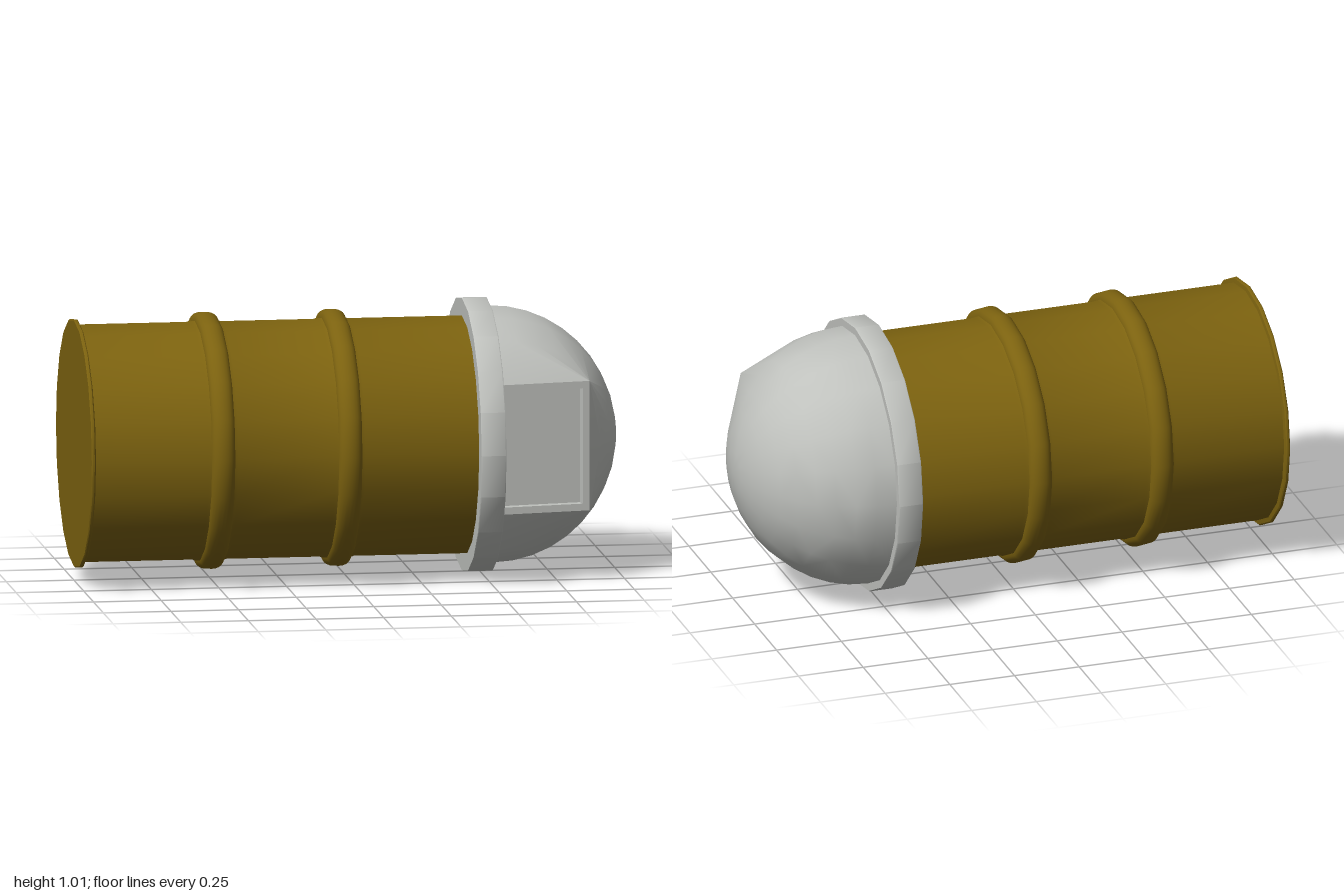
import * as THREE from 'three';
import { toCreasedNormals } from 'three/addons/utils/BufferGeometryUtils.js';
import { ConvexGeometry } from 'three/addons/geometries/ConvexGeometry.js';

const AXIS_Y = 0.507, SIDES = 20;
const RIM_X = 0.527, DOME_R = 0.477;       // dome base and radius
const HATCH_Z = 0.375, SLANT = Math.atan(0.165);
const HATCH_LEN = 0.338, HATCH_H = 0.24;   // hatch length and half height

// Turned part along the x axis from [x, radius] points
function turned(points) {
  const geo = new THREE.LatheGeometry(points.map(([x, r]) => new THREE.Vector2(r, x)), SIDES);
  geo.rotateZ(-Math.PI / 2);
  return toCreasedNormals(geo, 0.6);
}

// Half-round rib profile with small flared feet
function rib(x) {
  const pts = [[x - 0.055, 0.44]];
  for (let i = 0; i <= 10; i++) {
    const a = Math.PI * (1 - i / 10);
    pts.push([x + 0.043 * Math.cos(a), 0.444 + 0.032 * Math.sin(a)]);
  }
  pts.push([x + 0.055, 0.44]);
  return pts;
}

export function createModel() {
  const paint = new THREE.MeshStandardMaterial({ color: 0x7c620f });
  paint.name = 'barrel ochre';
  const grey = new THREE.MeshStandardMaterial({ color: 0xbfc1bd });
  grey.name = 'lid grey';

  const model = new THREE.Group();
  model.name = 'barrelBin';
  const body = new THREE.Group();
  body.position.y = AXIS_Y;
  model.add(body);
  const add = (name, geo, mat, parent = body) => {
    const mesh = new THREE.Mesh(geo, mat);
    mesh.name = name;
    parent.add(mesh);
    return mesh;
  };

  // Barrel with base rim and two ribs
  add('barrel', turned([
    [-1, 0], [-1, 0.456], [-0.996, 0.46], [-0.989, 0.46], [-0.985, 0.456], [-0.982, 0.44],
    ...rib(-0.51), ...rib(-0.04), [0.45, 0.44],
  ]), paint);

  // Lid collar
  add('lidCollar', turned([
    [0.435, 0.43], [0.435, 0.505], [0.438, 0.507], [0.524, 0.507], [RIM_X, 0.505], [RIM_X, 0],
  ]), grey);

  // Slanted hatch frame of reference
  const hatch = new THREE.Group();
  hatch.name = 'hatch';
  hatch.position.set(RIM_X, 0, HATCH_Z);
  hatch.rotation.y = SLANT;
  hatch.updateMatrix();
  body.add(hatch);
  const normal = new THREE.Vector3(Math.sin(SLANT), 0, Math.cos(SLANT));
  const height = (p) => p.clone().sub(hatch.position).dot(normal);

  // Dome: half sphere stretched over the corners of the hatch
  const points = [];
  const rings = 10;
  for (let i = 0; i <= rings; i++) {
    const a = (i / rings) * Math.PI / 2, r = DOME_R * Math.cos(a);
    const x = i === 0 ? RIM_X - 0.004 : RIM_X + (1 - RIM_X) * Math.sin(a);
    for (let j = 0; j < (i === rings ? 1 : SIDES); j++) {
      const t = (j / SIDES) * Math.PI * 2;
      const p = new THREE.Vector3(x, r * Math.cos(t), r * Math.sin(t));
      if (height(p) < -0.002) points.push(p);
    }
  }
  for (const u of [-0.004, HATCH_LEN]) for (const v of [-HATCH_H, HATCH_H])
    points.push(new THREE.Vector3(u, v, 0).applyMatrix4(hatch.matrix));
  const hull = new ConvexGeometry(points);

  // Leave the hatch face open
  const src = hull.attributes.position, kept = [];
  for (let i = 0; i < src.count; i += 3) {
    const tri = [0, 1, 2].map((k) => new THREE.Vector3().fromBufferAttribute(src, i + k));
    if (!tri.every((p) => Math.abs(height(p)) < 1e-4)) tri.forEach((p) => kept.push(...p.toArray()));
  }
  const dome = new THREE.BufferGeometry();
  dome.setAttribute('position', new THREE.Float32BufferAttribute(kept, 3));
  add('dome', toCreasedNormals(dome, 0.65), grey);

  // Three-sided hatch surround, open toward the collar
  const lip = 0.026, inH = HATCH_H - lip, L = HATCH_LEN;
  const surround = new THREE.Shape([
    [-0.004, -HATCH_H], [L, -HATCH_H], [L, HATCH_H], [-0.004, HATCH_H],
    [-0.004, inH], [L - lip, inH], [L - lip, -inH], [-0.004, -inH],
  ].map(([u, v]) => new THREE.Vector2(u, v)));
  add('hatchSurround', new THREE.ExtrudeGeometry(surround, { depth: 0.045, bevelEnabled: false }), grey, hatch)
    .position.z = -0.045;

  // Recessed door and its hinge strip
  add('hatchDoor', new THREE.BoxGeometry(L - 0.01, 2 * inH + 0.02, 0.01), grey, hatch)
    .position.set(L / 2 - 0.005, 0, -0.041);
  add('hingeStrip', new THREE.BoxGeometry(0.022, 2 * inH, 0.014), grey, hatch)
    .position.set(0.007, 0, -0.036);

  return model;
}
